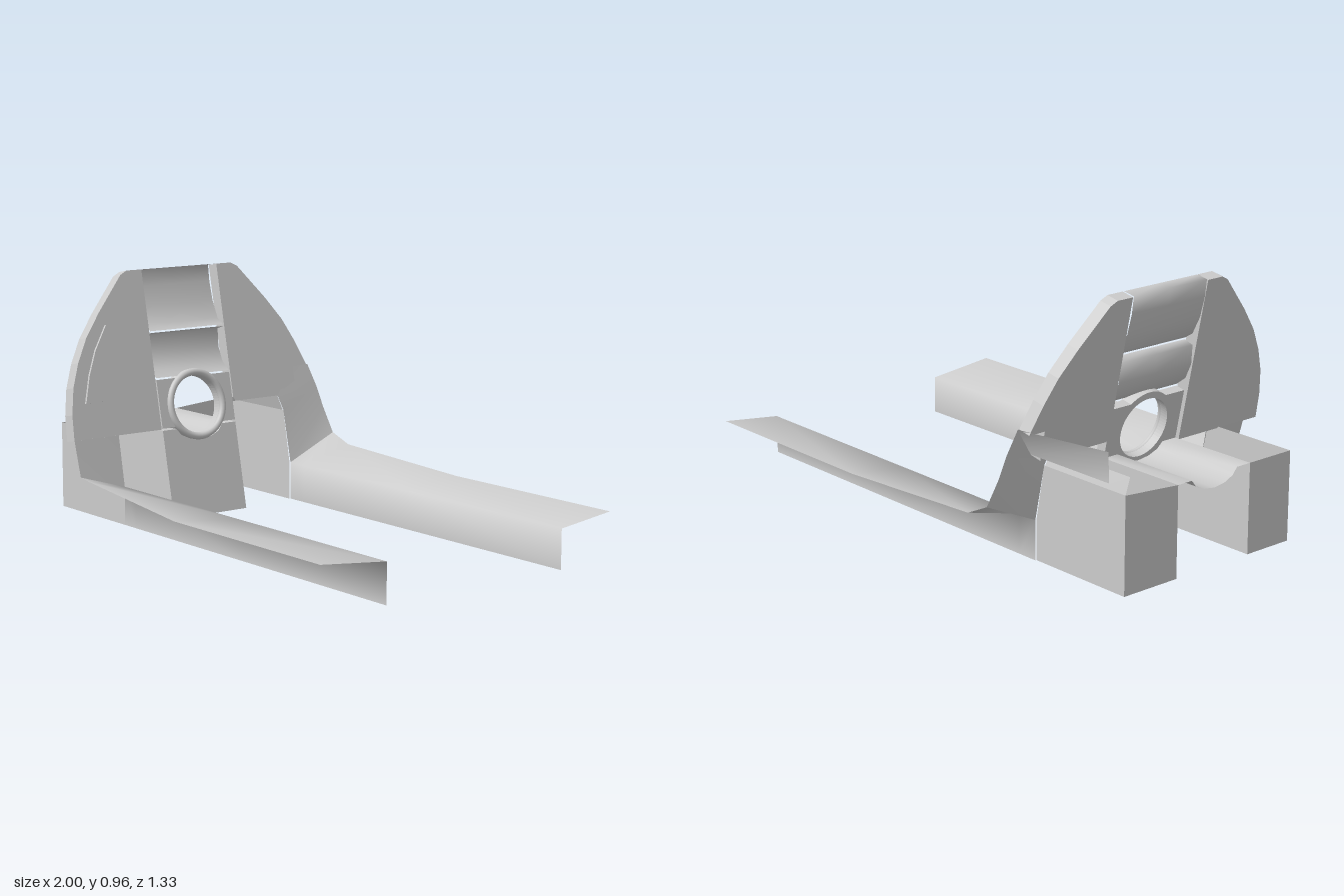
import * as THREE from 'three';

const material = new THREE.MeshStandardMaterial({ color: 0xcccccc, side: THREE.DoubleSide });

// Sloping bulkhead frame: u runs along z, v is height, w is depth behind the front plane
const slope = new THREE.Matrix4().set(
  0, -0.21, -0.98, -0.52,
  0, 1, -0.2, 0,
  1, 0, 0, 0,
  0, 0, 0, 1);
const onSlope = (z, y, w = 0) => new THREE.Vector3(z, y, w).applyMatrix4(slope).toArray();

function add(group, name, geometry) {
  const mesh = new THREE.Mesh(geometry, material);
  mesh.name = name;
  group.add(mesh);
  return mesh;
}

// Smooth sheet lofted through rows of points
function sheet(group, name, rows) {
  const n = rows[0].length;
  const index = [];
  for (let i = 0; i < rows.length - 1; i++) {
    for (let j = 0; j < n - 1; j++) {
      const a = i * n + j, b = a + 1, c = a + n, d = c + 1;
      index.push(a, c, b, b, c, d);
    }
  }
  const g = new THREE.BufferGeometry();
  g.setAttribute('position', new THREE.Float32BufferAttribute(rows.flat(2), 3));
  g.setIndex(index);
  g.computeVertexNormals();
  return add(group, name, g);
}

// Slab lying on the bulkhead slope, from a (z, y) outline
function slab(group, name, outline, depth = 0.052, hole = null) {
  const shape = new THREE.Shape(outline.map(([z, y]) => new THREE.Vector2(z, y)));
  if (hole) shape.holes.push(new THREE.Path().absarc(hole.z, hole.y, hole.r, 0, Math.PI * 2, true));
  const g = new THREE.ExtrudeGeometry(shape, { depth, bevelEnabled: false, curveSegments: 32 });
  g.applyMatrix4(slope);
  return add(group, name, g);
}

export function createModel() {
  const model = new THREE.Group();
  model.name = 'cockpitFrame';

  // Bulkhead side panels with curved outer edges
  slab(model, 'leftBulkheadPanel', [
    [0.18, 0.345], [0.58, 0.345], [0.575, 0.44], [0.555, 0.54], [0.52, 0.63],
    [0.47, 0.72], [0.4, 0.81], [0.28, 0.945], [0.25, 0.96], [0.18, 0.96]]);
  slab(model, 'rightBulkheadPanel', [
    [-0.18, 0.96], [-0.25, 0.96], [-0.28, 0.945], [-0.4, 0.81], [-0.47, 0.72],
    [-0.52, 0.63], [-0.565, 0.53], [-0.495, 0.53], [-0.495, 0.42], [-0.19, 0.42], [-0.18, 0.435]]);

  // Recessed centre panels
  const recess = (name, profile) => sheet(model, name,
    profile.map(([y, w]) => [-0.175, 0, 0.175].map((z) => onSlope(z, y, w))));
  recess('upperCentrePanel', [[0.96, 0], [0.962, 0.05], [0.9, 0.055], [0.82, 0.05], [0.75, 0.03], [0.722, 0]]);
  recess('lowerCentrePanel', [[0.715, 0], [0.71, 0.04], [0.64, 0.05], [0.58, 0.035], [0.542, 0]]);

  // Plate and ring around the round opening
  const cy = 0.427, outer = 0.137;
  const arc = (from, to) => Array.from({ length: 13 }, (_, i) => {
    const a = THREE.MathUtils.lerp(from, to, i / 12);
    return [outer * Math.cos(a), cy + outer * Math.sin(a)];
  });
  const t1 = Math.asin((0.535 - cy) / outer), t2 = Math.asin((cy - 0.348) / outer);
  slab(model, 'ringPlate', [
    [0.175, 0.348], [0.175, 0.535], ...arc(t1, Math.PI - t1),
    [-0.175, 0.535], [-0.175, 0.348], ...arc(Math.PI + t2, 2 * Math.PI - t2)],
  0.04, { z: 0, y: cy, r: 0.112 });
  const ring = new THREE.TorusGeometry(0.124, 0.014, 10, 48);
  ring.translate(0, cy, 0);
  ring.applyMatrix4(slope);
  add(model, 'ring', ring);

  // Centre pedestal: sloping front and a trough that dips below the ring
  const dip = [[-0.175, 0.34], [-0.11, 0.34], [-0.09, 0.315], [-0.05, 0.297], [0, 0.29],
    [0.05, 0.297], [0.09, 0.315], [0.11, 0.34], [0.175, 0.34]];
  sheet(model, 'pedestalFront', [
    dip.map(([z, y]) => onSlope(z, y)), dip.map(([z]) => onSlope(z, 0))]);
  sheet(model, 'pedestalTrough', [
    dip.map(([z, y]) => [-1, y, z]), dip.map(([z, y]) => onSlope(z, y))]);
  for (const [name, z] of [['leftPedestalWall', 0.175], ['rightPedestalWall', -0.175]]) {
    sheet(model, name, [[[-1, 0.34, z], onSlope(z, 0.34)], [[-1, 0, z], onSlope(z, 0)]]);
  }

  // Side consoles, open above and below: outer wall and rear wall
  for (const [name, z, top] of [['left', 0.38, 0.34], ['right', -0.42, 0.36]]) {
    sheet(model, name + 'ConsoleWall', [
      [[-1, top, z], [-0.595, top, z], [-0.555, 0.15, z]],
      [[-1, 0, z], [-0.595, 0, z], [-0.555, 0, z]]]);
    const inner = Math.sign(z) * 0.175;
    sheet(model, name + 'ConsoleRear', [
      [[-1, top, z], [-1, 0.34, inner]], [[-1, 0, z], [-1, 0, inner]]]);
  }

  // Left rail: upright inner wall with a sill that widens forward
  const rail = (x, zIn, zOut, yOut) => [[x, 0, zIn], [x, 0.15, zIn], [x, yOut, zOut]];
  sheet(model, 'leftRail', [
    rail(-0.555, 0.38, 0.578, 0.21), rail(-0.48, 0.38, 0.59, 0.207),
    rail(0.18, 0.38, 0.662, 0.18), rail(1, 0.38, 0.662, 0.18)]);
  sheet(model, 'leftShoulder', [
    [[-0.592, 0.345, 0.38], [-0.592, 0.345, 0.58]],
    [[-0.555, 0.15, 0.38], [-0.555, 0.21, 0.578]]]);

  // Right rail
  sheet(model, 'rightRail', [
    rail(-0.555, -0.425, -0.645, 0.25), rail(-0.47, -0.425, -0.658, 0.21),
    rail(0.18, -0.425, -0.665, 0.18), rail(1, -0.425, -0.665, 0.18)]);

  // Right shoulder sweeping from the bulkhead down to the rail
  sheet(model, 'rightShoulder', [
    [[-0.632, 0.53, -0.495], [-0.632, 0.53, -0.572]],
    [[-0.608, 0.42, -0.4], [-0.61, 0.44, -0.602]],
    [[-0.595, 0.36, -0.42], [-0.592, 0.35, -0.625]],
    [[-0.555, 0.15, -0.425], [-0.555, 0.25, -0.645]]]);

  // Right side ledge behind the bulkhead
  sheet(model, 'rightLedgeSkirt', [
    [[-1, 0.36, -0.42], [-0.6, 0.36, -0.42]], [[-1, 0.42, -0.4], [-0.61, 0.42, -0.4]]]);
  sheet(model, 'rightLedge', [
    [[-1, 0.42, -0.4], [-0.61, 0.42, -0.4]], [[-1, 0.42, -0.495], [-0.61, 0.42, -0.495]]]);
  sheet(model, 'rightLedgeWall', [
    [[-1, 0.42, -0.495], [-0.61, 0.42, -0.495]], [[-1, 0.53, -0.5], [-0.632, 0.53, -0.572]]]);

  // Slim plate standing in front of the left panel
  slab(model, 'slimPlate', [[0.5, 0.5], [0.58, 0.5], [0.55, 0.6], [0.51, 0.69], [0.45, 0.78], [0.41, 0.74]], 0.01)
    .position.x = 0.12;

  return model;
}
